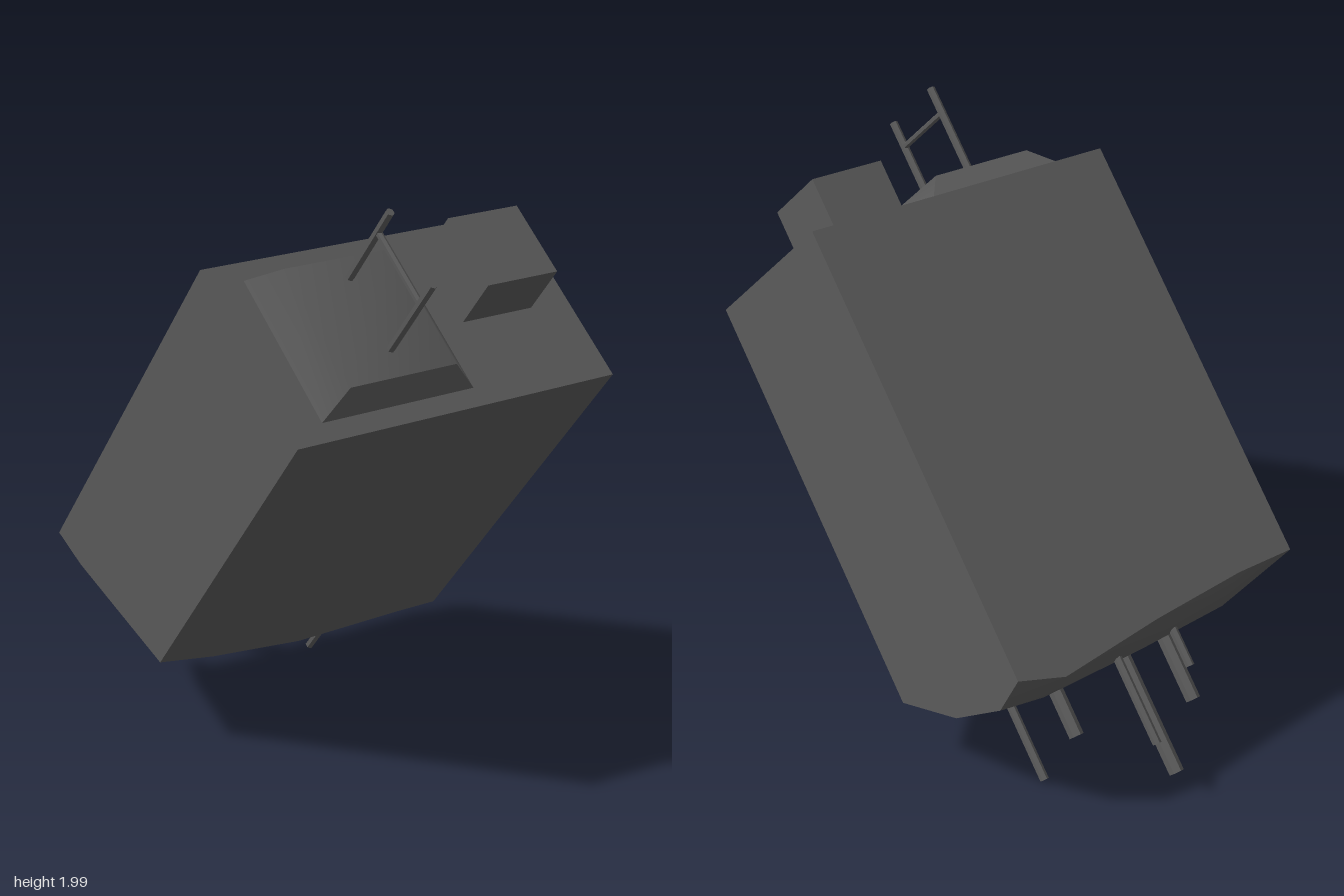
import * as THREE from 'three';

const grey = new THREE.MeshStandardMaterial({ color: 0x5a5a5a });
grey.name = 'dark grey';

// Indexed surface through rows of points; it faces along (row step) x (column step).
function sheet(name, rows) {
  const n = rows[0].length, index = [];
  for (let r = 0; r < rows.length - 1; r++) {
    for (let c = 0; c < n - 1; c++) {
      const i = r * n + c;
      index.push(i, i + n, i + 1, i + 1, i + n, i + n + 1);
    }
  }
  const geo = new THREE.BufferGeometry();
  geo.setAttribute('position', new THREE.Float32BufferAttribute(rows.flat(2), 3));
  geo.setIndex(index);
  geo.computeVertexNormals();
  return part(name, geo);
}

function part(name, geo) {
  const mesh = new THREE.Mesh(geo, grey);
  mesh.name = name;
  return mesh;
}

// Thin six-sided rod standing on the local y axis between two heights.
function rod(name, radius, x, z, y0, y1) {
  const geo = new THREE.CylinderGeometry(radius, radius, y1 - y0, 6).toNonIndexed();
  geo.computeVertexNormals();
  const mesh = part(name, geo);
  mesh.position.set(x, (y0 + y1) / 2, z);
  return mesh;
}

// Block with flat walls and a bulging, uneven underside.
function buildBody() {
  const body = new THREE.Group();
  body.name = 'body';
  const xs = [-0.645, -0.39, 0.02, 0.465, 0.645];
  const zs = [0.354, 0.08, -0.187, -0.354];
  const depth = [
    [1.357, 1.44, 1.527, 1.517, 1.522],
    [1.46, 1.68, 1.70, 1.68, 1.65],
    [1.56, 1.68, 1.70, 1.71, 1.69],
    [1.60, 1.60, 1.63, 1.68, 1.63],
  ];
  const under = depth.map((row, r) => row.map((t, c) => [xs[c], -t, zs[r]]));
  const wall = (name, edge) => sheet(name, [edge.map(([x, , z]) => [x, 0, z]), edge]);
  body.add(
    sheet('underside', under),
    wall('frontWall', under[0]),
    wall('leftWall', under.map((row) => row[4])),
    wall('backWall', [...under[3]].reverse()),
    wall('rightWall', under.map((row) => row[0]).reverse()),
    sheet('topFace', [-0.354, 0.354].map((z) => [[-0.645, 0, z], [0.645, 0, z]])),
  );
  return body;
}

// Raised plate with soft sides and sloped ends.
function buildPlate() {
  const plate = new THREE.Group();
  plate.name = 'raisedPlate';
  const section = [[-0.515, 0, 0.283], [-0.425, 0.1, 0.237], [-0.005, 0.1, 0.237], [0.088, 0, 0.283]];
  const [back, front] = [-1, 1].map((s) => section.map(([x, y, z]) => [x, y, z * s]));
  plate.add(
    sheet('plateTop', [back, front]),
    sheet('plateFrontSlope', [[front[1], front[2]], [front[0], front[3]]]),
    sheet('plateBackSlope', [[back[2], back[1]], [back[3], back[0]]]),
  );
  return plate;
}

// Two uprights joined by a crossbar.
function buildHandle() {
  const handle = new THREE.Group();
  handle.name = 'handle';
  for (const z of [-0.158, 0.132]) handle.add(rod('handleUpright', 0.015, -0.21, z, 0.05, 0.44));
  const bar = rod('handleCrossbar', 0.012, -0.21, -0.013, -0.145, 0.145);
  bar.position.y = 0.34;
  bar.rotation.x = Math.PI / 2;
  handle.add(bar);
  return handle;
}

export function createModel() {
  const model = new THREE.Group();
  model.name = 'model';

  // Everything is built upright, then tilted as a whole.
  const tilted = new THREE.Group();
  tilted.name = 'tiltedAssembly';
  const side = new THREE.Vector3(0.9987, 0.0505, 0).normalize();
  const up = new THREE.Vector3(-0.0367, 0.726, 0.686).normalize();
  const forward = new THREE.Vector3().crossVectors(side, up).normalize();
  tilted.quaternion.setFromRotationMatrix(new THREE.Matrix4().makeBasis(side, up, forward));
  tilted.position.set(-0.034, 1.5675, 0.5675);
  tilted.add(buildBody(), buildPlate(), buildHandle());

  // Small block beside the plate
  const block = part('topBlock', new THREE.BoxGeometry(0.293, 0.203, 0.283));
  block.position.set(0.338, 0.1015, -0.106);
  tilted.add(block);

  // Pins under the body: radius, x, z, tip height
  const pins = [
    [0.016, 0.34, 0.206, -1.969],
    [0.027, 0.018, -0.078, -2.135],
    [0.027, 0.185, 0.141, -1.879],
    [0.027, -0.248, 0.01, -1.937],
    [0.016, 0.132, -0.201, -2.012],
    [0.016, -0.136, -0.202, -1.822],
  ];
  for (const [r, x, z, tip] of pins) tilted.add(rod('pin', r, x, z, tip, -1.45));

  model.add(tilted);
  return model;
}
